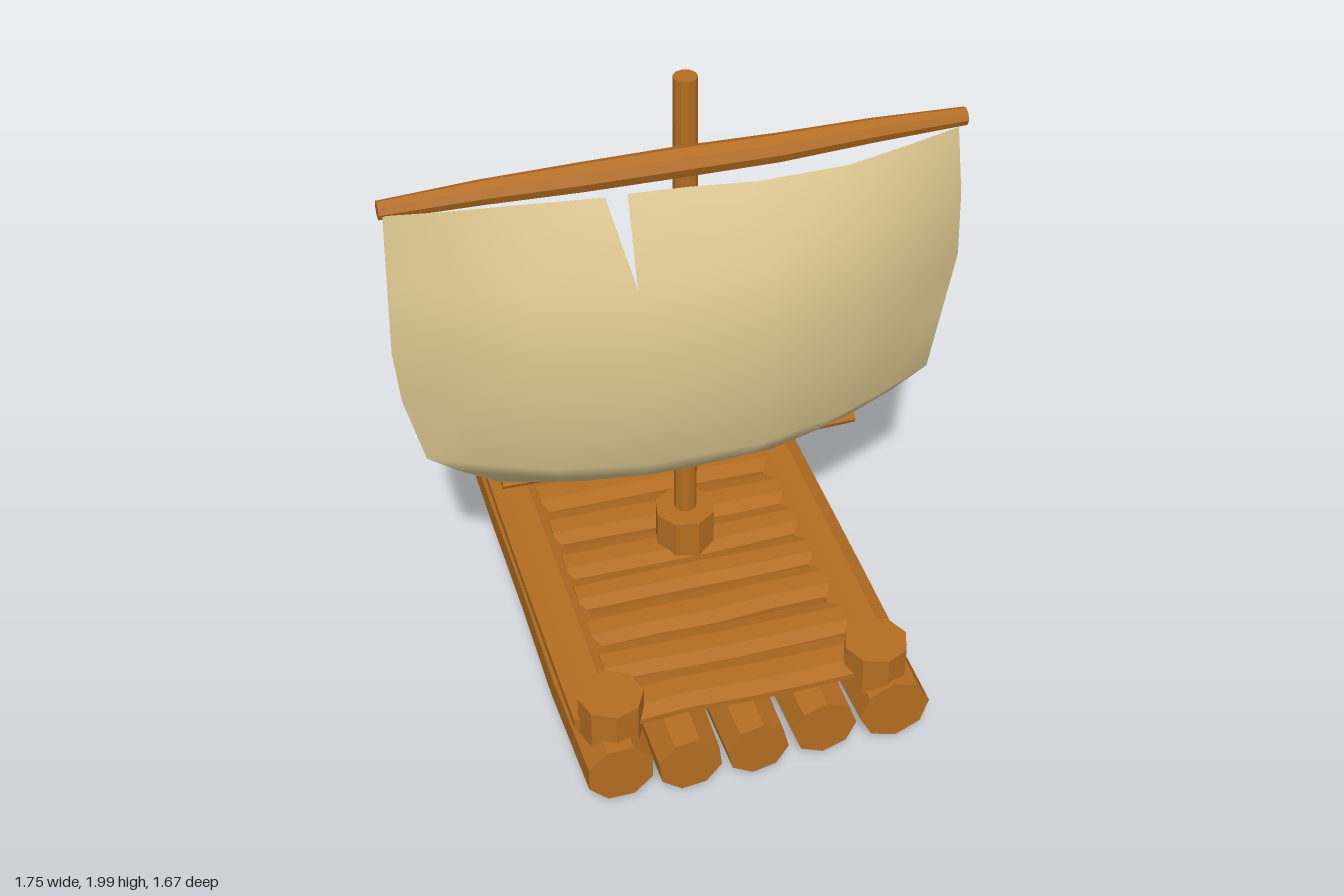
import * as THREE from 'three';

const wood = new THREE.MeshStandardMaterial({ color: 0xb36d20 });
wood.name = 'wood';
const canvas = new THREE.MeshStandardMaterial({ color: 0xd9c48d, side: THREE.DoubleSide });
canvas.name = 'sailcloth';

// Small seeded generator for the hand-cut irregularity
let seed = 7;
const rand = () => {
  seed = (seed * 16807) % 2147483647;
  return seed / 2147483647 - 0.5;
};

// Rough faceted timber along y: swells from rEnd to rMid, wobbles sideways
function timber(length, rEnd, rMid, { sides = 8, wobble = 0, segments = 4, turn = 0 } = {}) {
  const indexed = new THREE.CylinderGeometry(1, 1, length, sides, segments);
  indexed.rotateY(turn);
  const rings = Array.from({ length: segments + 1 }, () => [rand() * wobble, rand() * wobble]);
  const p = indexed.attributes.position;
  for (let i = 0; i < p.count; i++) {
    const t = p.getY(i) / length + 0.5;
    const r = rEnd + (rMid - rEnd) * Math.sin(Math.PI * t);
    const [dx, dz] = rings[Math.round(t * segments)];
    p.setX(i, p.getX(i) * r + dx);
    p.setZ(i, p.getZ(i) * r + dz);
  }
  const g = indexed.toNonIndexed();
  g.computeVertexNormals();
  return g;
}

function add(parent, name, geometry, x, y, z, material = wood) {
  const mesh = new THREE.Mesh(geometry, material);
  mesh.name = name;
  mesh.position.set(x, y, z);
  parent.add(mesh);
  return mesh;
}

// Flat timbers are squashed in y, then facets are recalculated
function squash(g, thickness, width) {
  g.scale(1, thickness / width, 1);
  g.computeVertexNormals();
  return g;
}

function buildSail() {
  // Rows: height, half width, z at side edges, z at the belly
  const rows = [
    [1.75, 0.855, 0.07, 0.17], [1.52, 0.865, 0.105, 0.305], [1.3, 0.87, 0.11, 0.355],
    [1.1, 0.85, 0.085, 0.345], [0.89, 0.795, 0.115, 0.33], [0.8, 0.7, 0.09, 0.265],
    [0.68, 0.57, 0.05, 0.13],
  ];
  // Columns: across fraction, belly fraction, top edge sag, bottom edge sag
  const cols = [
    [-1, 0, -0.005, 0.01], [-0.8, 0.36, 0.0, 0.005], [-0.57, 0.72, 0.008, 0],
    [-0.22, 1, 0.005, -0.005], [0, 1, -0.005, -0.01], [0.24, 1, -0.025, 0],
    [0.57, 0.72, -0.04, 0], [0.8, 0.36, -0.03, 0.005], [1, 0, -0.02, 0.01],
  ];
  const last = rows.length - 1;
  const positions = [], index = [], ids = new Map();
  // side says which lip of a tear the corner belongs to
  const corner = (c, r, side) => {
    const topTear = r === 0 && c === 3, lowTear = r === last && c === 5;
    const key = `${c},${r},${topTear || lowTear ? side : 0}`;
    if (!ids.has(key)) {
      const [y, w, zEdge, zMid] = rows[r];
      const [s, f, top, low] = cols[c];
      let x = s * w - 0.01;
      if (topTear) x = side < 0 ? -0.255 : -0.19;
      if (lowTear) x = side < 0 ? 0.19 : 0.27;
      ids.set(key, positions.length / 3);
      positions.push(x, y + (r === 0 ? top : r === last ? low : 0), zEdge + (zMid - zEdge) * f);
    }
    return ids.get(key);
  };
  for (let r = 0; r < last; r++) {
    for (let c = 0; c < cols.length - 1; c++) {
      const a = corner(c, r, 1), b = corner(c + 1, r, -1);
      const d = corner(c, r + 1, 1), e = corner(c + 1, r + 1, -1);
      index.push(a, d, b, b, d, e);
    }
  }
  const g = new THREE.BufferGeometry();
  g.setAttribute('position', new THREE.Float32BufferAttribute(positions, 3));
  g.setIndex(index);
  g.computeVertexNormals();
  return g;
}

export function createModel() {
  const model = new THREE.Group();
  model.name = 'raft';

  // Hull logs: x, y, radius, back z, front z
  const hull = new THREE.Group();
  hull.name = 'hullLogs';
  model.add(hull);
  [
    [-0.415, 0.14, 0.113, -0.83, 0.82], [-0.2, 0.122, 0.108, -0.84, 0.83],
    [0.01, 0.13, 0.105, -0.82, 0.83], [0.23, 0.13, 0.108, -0.84, 0.81],
    [0.457, 0.135, 0.118, -0.82, 0.81],
  ].forEach(([x, y, r, z0, z1], i) => {
    const g = timber(z1 - z0, r - 0.006, r + 0.004, { wobble: 0.014, turn: Math.PI / 8 + i * 0.12 });
    g.rotateX(Math.PI / 2);
    add(hull, 'hullLog', g, x, y, (z0 + z1) / 2);
  });

  // Deck planks between these z borders
  const deck = new THREE.Group();
  deck.name = 'deck';
  model.add(deck);
  const borders = [-0.78, -0.6, -0.42, -0.23, -0.06, 0.1, 0.25, 0.41, 0.57, 0.745];
  for (let i = 0; i < borders.length - 1; i++) {
    const width = borders[i + 1] - borders[i];
    const g = timber(0.78, width * 0.5, width * 0.52, { wobble: 0.014, turn: Math.PI / 8 });
    g.rotateZ(Math.PI / 2);
    add(deck, 'plank', squash(g, 0.05, width), 0.01, 0.255, (borders[i] + borders[i + 1]) / 2);
  }

  // Side rails and corner posts
  for (const [x, zBack, zFront] of [[-0.405, -0.72, 0.69], [0.43, -0.71, 0.7]]) {
    const rail = timber(1.4, 0.085, 0.088, { turn: Math.PI / 8 });
    rail.rotateX(Math.PI / 2);
    add(model, 'sideRail', squash(rail, 0.085, 0.17), x < 0 ? -0.44 : 0.455, 0.247, -0.01);
    for (const z of [zBack, zFront]) {
      const post = timber(0.14, 0.1, 0.098, { sides: 8, segments: 1, turn: rand() });
      add(model, 'cornerPost', post, x, 0.275, z);
    }
  }

  // Mast and its collar
  add(model, 'mastCollar', timber(0.18, 0.098, 0.098, { segments: 1, turn: 0.2 }), 0.03, 0.31, 0.005);
  const mast = add(model, 'mast', timber(1.76, 0.036, 0.037, { sides: 10, wobble: 0.004 }), 0.032, 1.12, -0.003);
  mast.rotation.z = 0.002;

  // Yards carrying the sail
  const upper = timber(1.75, 0.028, 0.046, { wobble: 0.008, segments: 6 });
  upper.rotateZ(Math.PI / 2);
  add(model, 'upperYard', upper, 0, 1.748, 0.045);
  const lower = timber(1.15, 0.02, 0.03, { wobble: 0.006 });
  lower.rotateZ(Math.PI / 2);
  add(model, 'lowerYard', lower, 0.005, 0.675, 0.038);

  add(model, 'sail', buildSail(), 0, 0, 0, canvas);
  return model;
}
